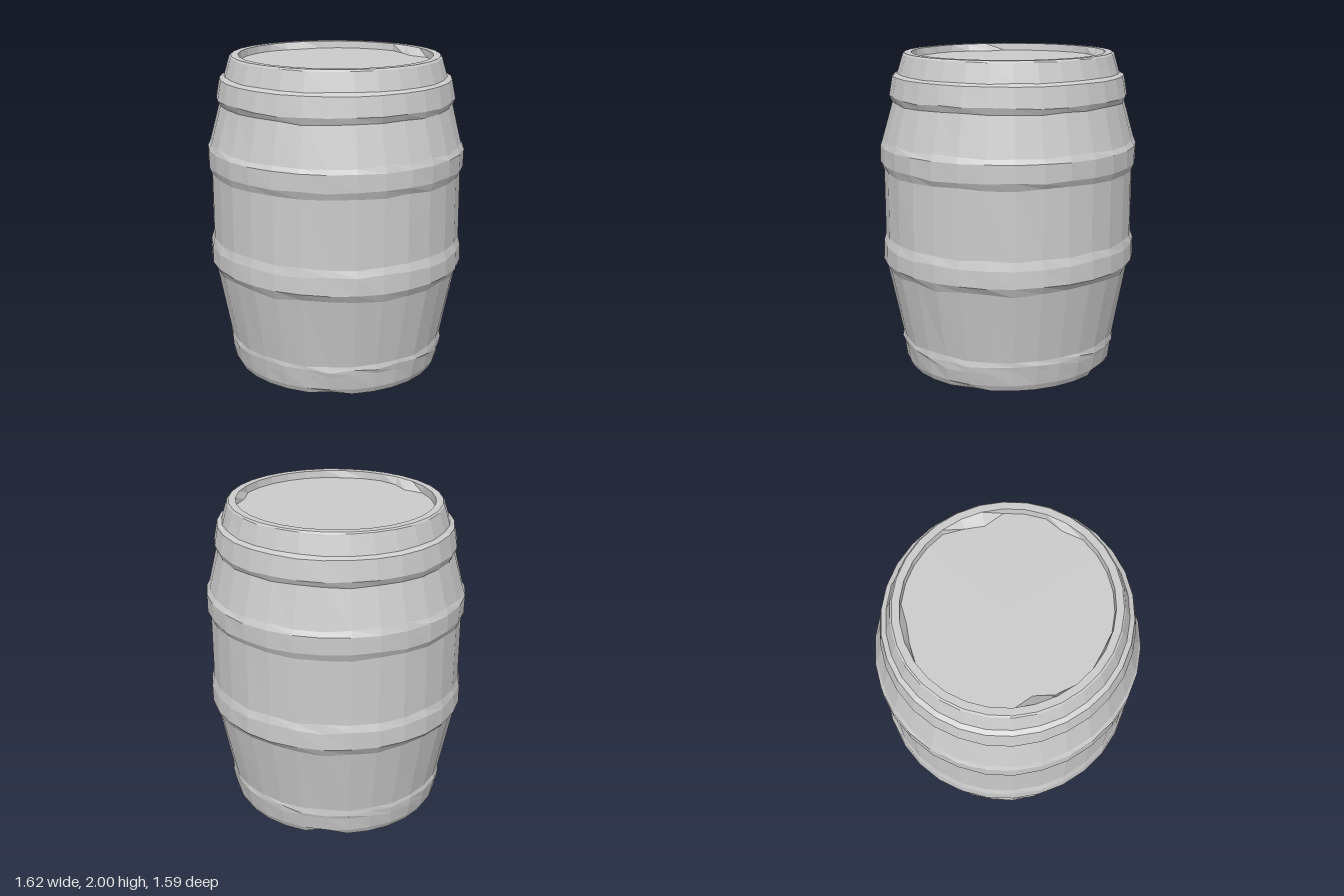
import * as THREE from 'three';

const SIDES = 30;

// Cross-section rings, listed as [radius, height, hand-hewn unevenness]
const BASE = [[0, 0, 0], [0.655, 0, 0], [0.675, 0.04, 0.002]];
const FOOT_HOOP = [[0.675, 0.04, 0.002], [0.693, 0.13, 0.012], [0.7, 0.17, 0.012], [0.696, 0.2, 0.008]];
const LOWER_STAVES = [[0.696, 0.2, 0.008], [0.783, 0.65, 0.014]];
const LOWER_HOOP = [[0.783, 0.65, 0.014], [0.812, 0.7, 0.003], [0.81, 0.81, 0.008], [0.796, 0.86, 0.008]];
const MIDDLE_STAVES = [[0.796, 0.86, 0.008], [0.796, 1.28, 0.008]];
const UPPER_HOOP = [[0.796, 1.28, 0.008], [0.814, 1.32, 0.008], [0.815, 1.43, 0.002], [0.798, 1.465, 0.01]];
const UPPER_STAVES = [[0.798, 1.465, 0.01], [0.735, 1.7, 0.008]];
const TOP_HOOP = [[0.735, 1.7, 0.008], [0.752, 1.74, 0.006], [0.73, 1.86, 0.002], [0.7, 1.875, 0.003]];
const RIM = [[0.7, 1.875, 0.003], [0.665, 1.99, 0.003], [0.655, 2, 0], [0.61, 2, 0], [0.605, 1.955, 0]];
const LID = [[0.605, 1.955, 0], [0, 1.955, 0]];

// Worn spots: [side index, amount pulled inward], side 0 faces +z
const LID_WEAR = { 2: 0.01, 9: 0.03, 14: 0.04, 13: 0.065, 20: 0.03, 21: 0.02, 28: 0.06, 29: 0.02 };
const BASE_WEAR = { 3: 0.03, 10: 0.02, 17: 0.05, 24: 0.03 };

// Repeatable value in -1..1 for each ring and side, so neighbouring parts meet
function noise(side, y) {
  const s = Math.sin(side * 12.9898 + y * 78.233) * 43758.5453;
  return (s - Math.floor(s)) * 2 - 1;
}

function ringPart(name, profile, material) {
  const points = profile.map(([r, y]) => new THREE.Vector2(r, y));
  const geometry = new THREE.LatheGeometry(points, SIDES);
  const position = geometry.attributes.position;
  for (let i = 0; i < position.count; i++) {
    const side = Math.floor(i / profile.length) % SIDES;
    const [radius, height, uneven] = profile[i % profile.length];
    let r = radius;
    if (r > 0) {
      r += noise(side, height + 5) * uneven * 0.3;
      if (height === 1.955) r -= LID_WEAR[side] || 0;
      if (height === 0) r -= BASE_WEAR[side] || 0;
    }
    const a = (side / SIDES) * Math.PI * 2;
    const y = height + noise(side, height) * uneven;
    // Slightly narrower front to back
    position.setXYZ(i, r * Math.sin(a), y, r * Math.cos(a) * 0.978);
  }
  geometry.computeVertexNormals();
  const mesh = new THREE.Mesh(geometry, material);
  mesh.name = name;
  return mesh;
}

export function createModel() {
  const barrel = new THREE.Group();
  barrel.name = 'barrel';
  const material = new THREE.MeshStandardMaterial({ color: 0xcccccc, flatShading: true });

  const parts = {
    base: BASE,
    footHoop: FOOT_HOOP,
    lowerStaves: LOWER_STAVES,
    lowerHoop: LOWER_HOOP,
    middleStaves: MIDDLE_STAVES,
    upperHoop: UPPER_HOOP,
    upperStaves: UPPER_STAVES,
    topHoop: TOP_HOOP,
    rim: RIM,
    lid: LID,
  };
  for (const [name, profile] of Object.entries(parts)) {
    barrel.add(ringPart(name, profile, material));
  }
  return barrel;
}
